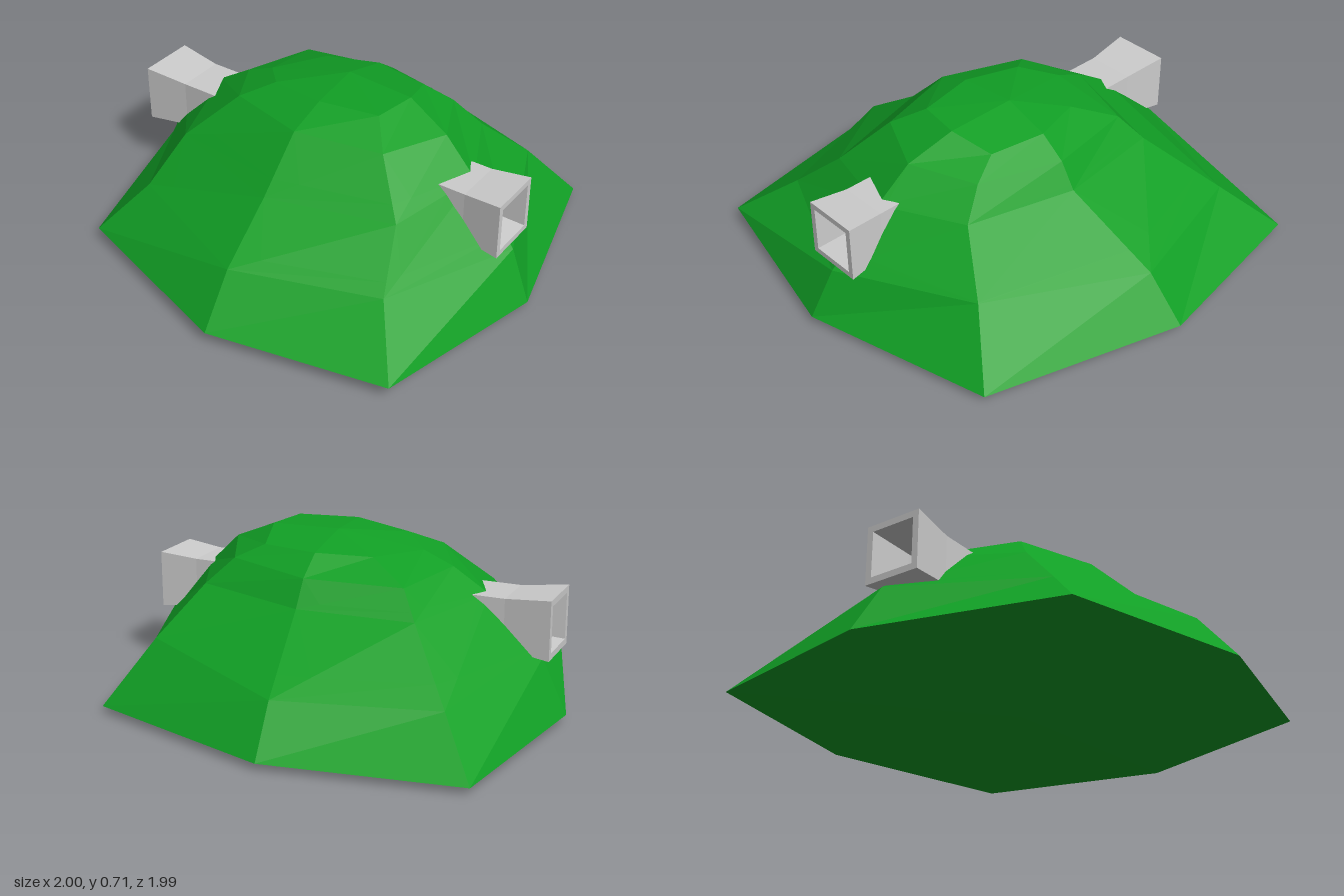
import * as THREE from 'three';

const TUNNEL_Y = 0.392, TUNNEL_Z = 0.038, HOLE = 0.1;

// Eight ridges of the hill from rim to summit, counterclockwise from the front
const RIDGES = [
  [[0.06, 0.05, 0.99], [0.05, 0.255, 0.82], [0.03, 0.435, 0.55], [0.03, 0.64, 0.34], [0.04, 0.705, 0.18]],
  [[0.83, 0.06, 0.84], [0.65, 0.25, 0.61], [0.565, 0.44, 0.4], [0.4, 0.625, 0.25], [0.3, 0.705, 0.13]],
  [[1, 0.03, 0.07], [0.9, 0.24, 0.04], [0.68, 0.48, 0], [0.53, 0.62, -0.02], [0.33, 0.705, -0.06]],
  [[0.79, 0.03, -0.745], [0.64, 0.29, -0.55], [0.51, 0.49, -0.35], [0.4, 0.6, -0.29], [0.28, 0.66, -0.24]],
  [[-0.06, 0.03, -1], [-0.04, 0.225, -0.84], [0.03, 0.47, -0.46], [0.03, 0.58, -0.39], [0.03, 0.66, -0.28]],
  [[-0.87, 0.03, -0.87], [-0.69, 0.22, -0.66], [-0.46, 0.46, -0.4], [-0.38, 0.57, -0.32], [-0.2, 0.65, -0.21]],
  [[-1, 0.045, -0.08], [-0.88, 0.26, -0.04], [-0.63, 0.49, 0], [-0.47, 0.59, 0], [-0.34, 0.645, 0]],
  [[-0.74, 0.06, 0.74], [-0.59, 0.25, 0.56], [-0.52, 0.44, 0.385], [-0.34, 0.62, 0.23], [-0.22, 0.68, 0.13]],
];
const SUMMIT = [0.02, 0.715, -0.07];
const BOTTOM = [0, 0, 0];

// Keep the part of a convex polygon where sign * (coordinate - limit) >= 0
function clip(poly, axis, limit, sign) {
  const out = [];
  poly.forEach((a, i) => {
    const b = poly[(i + 1) % poly.length];
    const da = sign * (a[axis] - limit), db = sign * (b[axis] - limit);
    if (da >= 0) out.push(a);
    if ((da > 0 && db < 0) || (da < 0 && db > 0)) {
      const t = da / (da - db);
      out.push(a.map((v, k) => v + (b[k] - v) * t));
    }
  });
  return out;
}

function hillGeometry() {
  const positions = [];
  const emit = (poly) => {
    for (let i = 1; i < poly.length - 1; i++) positions.push(...poly[0], ...poly[i], ...poly[i + 1]);
  };
  // Add a triangle, leaving out whatever lies within the tunnel opening
  const addTriangle = (...tri) => {
    let rest = tri;
    for (const [axis, centre] of [[1, TUNNEL_Y], [2, TUNNEL_Z]]) {
      for (const sign of [-1, 1]) {
        const limit = centre + sign * HOLE;
        emit(clip(rest, axis, limit, sign));
        rest = clip(rest, axis, limit, -sign);
      }
    }
  };
  RIDGES.forEach((a, i) => {
    const b = RIDGES[(i + 1) % RIDGES.length];
    for (let k = 0; k < a.length - 1; k++) {
      addTriangle(a[k], b[k], b[k + 1]);
      addTriangle(a[k], b[k + 1], a[k + 1]);
    }
    emit([a[4], b[4], SUMMIT]);
    emit([b[0], a[0], BOTTOM]);
  });
  const geometry = new THREE.BufferGeometry();
  geometry.setAttribute('position', new THREE.Float32BufferAttribute(positions, 3));
  geometry.computeVertexNormals();
  return geometry;
}

// Square tube along x with flared mouths: outer wall, then back along the inner wall
function tunnelGeometry() {
  const profile = [
    [-0.92, 0.128], [-0.72, 0.107], [0.72, 0.108], [0.89, 0.125],
    [0.89, 0.1], [0.72, 0.086], [-0.72, 0.086], [-0.92, 0.1], [-0.92, 0.128],
  ].map(([x, half]) => new THREE.Vector2(half * Math.SQRT2, x));
  return new THREE.LatheGeometry(profile, 4, Math.PI / 4).rotateZ(-Math.PI / 2);
}

export function createModel() {
  const grass = new THREE.MeshStandardMaterial({ color: 0x119f25, flatShading: true });
  grass.name = 'grass green';
  const stone = new THREE.MeshStandardMaterial({ color: 0xcccccc, flatShading: true });
  stone.name = 'light grey';

  const model = new THREE.Group();
  model.name = 'hillWithTunnel';

  const hill = new THREE.Mesh(hillGeometry(), grass);
  hill.name = 'hill';

  const tunnel = new THREE.Mesh(tunnelGeometry(), stone);
  tunnel.name = 'tunnel';
  tunnel.position.set(0, TUNNEL_Y, TUNNEL_Z);

  model.add(hill, tunnel);
  return model;
}
